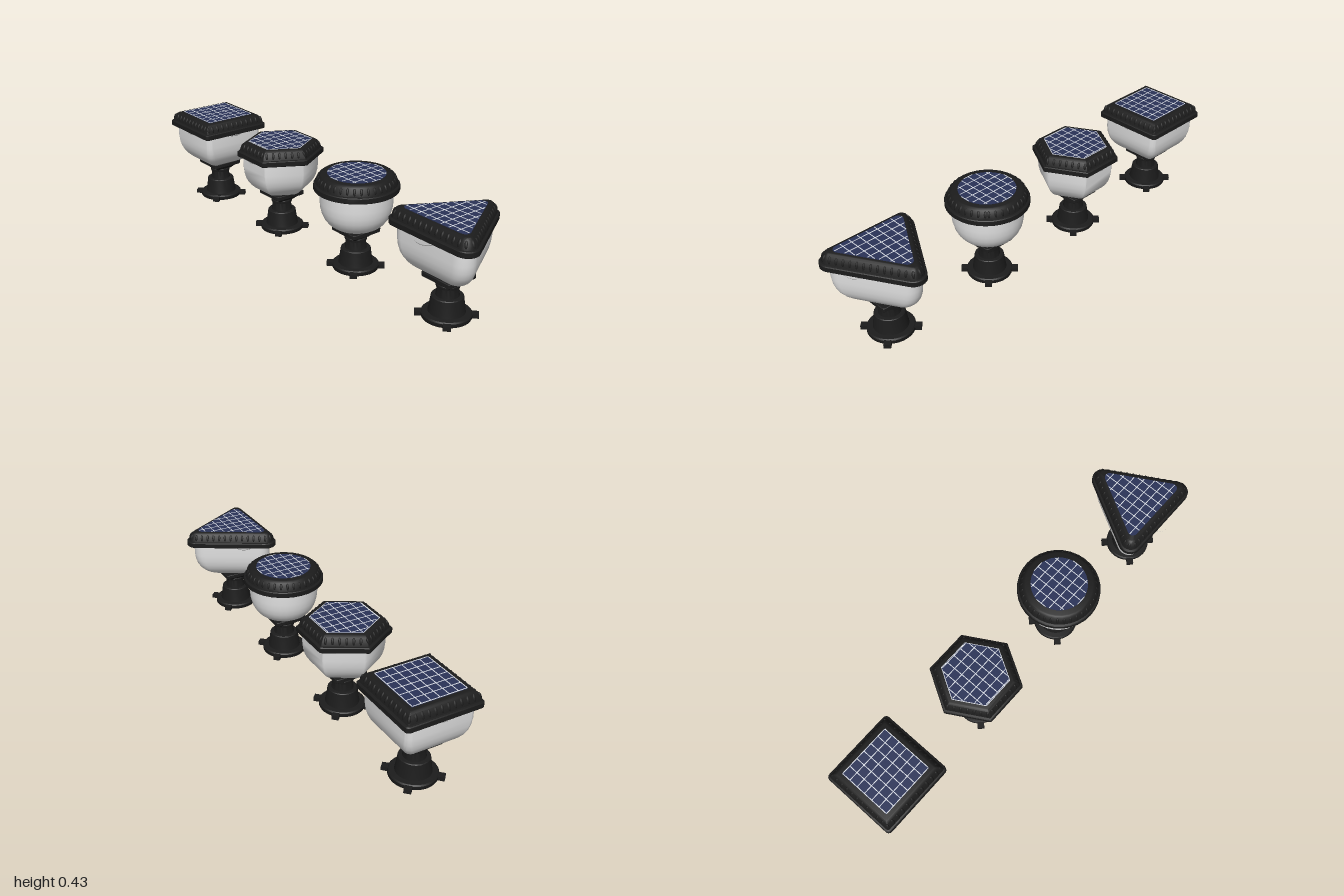
import * as THREE from 'three';
import { mergeGeometries, toCreasedNormals } from 'three/addons/utils/BufferGeometryUtils.js';

const mat = (name, color) => Object.assign(new THREE.MeshStandardMaterial({ color }), { name });

// Rounded regular polygon: n corners, apothem ap, corner radius r, first corner at angle phase
function outline({ n, ap, r, phase }, inset = 0, scale = 1, steps = 8) {
  const a = ap - inset, rr = Math.max(r - inset, 0.003);
  const c = (a - rr) / Math.cos(Math.PI / n), pts = [];
  for (let i = 0; i < n; i++) {
    const v = phase + (i * 2 * Math.PI) / n;
    for (let k = 0; k <= steps; k++) {
      const t = v + (Math.PI / n) * ((2 * k) / steps - 1);
      pts.push([scale * (c * Math.cos(v) + rr * Math.cos(t)), scale * (c * Math.sin(v) + rr * Math.sin(t))]);
    }
  }
  return pts;
}

// Skin over rings listed from the bottom up as [y, inset, scale]
function loft(shape, rings, crease = 0.5) {
  const pos = [], idx = [];
  let m = 0;
  rings.forEach(([y, inset = 0, scale = 1]) => {
    const pts = outline(shape, inset, scale);
    m = pts.length;
    pts.forEach(([x, z]) => pos.push(x, y, z));
  });
  for (let j = 0; j < rings.length - 1; j++) {
    for (let i = 0; i < m; i++) {
      const a = j * m + i, b = j * m + ((i + 1) % m);
      idx.push(a, a + m, b, b, a + m, b + m);
    }
  }
  const g = new THREE.BufferGeometry();
  g.setAttribute('position', new THREE.Float32BufferAttribute(pos, 3));
  g.setIndex(idx);
  return toCreasedNormals(g, crease);
}

// Small oval studs spaced evenly around the sloping side of the cap
function studs(shape) {
  const pts = outline(shape, 0.018), list = [], gap = 0.028;
  let next = 0, walked = 0;
  pts.forEach(([x, z], i) => {
    const [x2, z2] = pts[(i + 1) % pts.length];
    const len = Math.hypot(x2 - x, z2 - z);
    while (next < walked + len) {
      const t = (next - walked) / len;
      const g = new THREE.SphereGeometry(1, 8, 6);
      g.scale(0.007, 0.016, 0.006);
      g.rotateX(-0.4);
      g.rotateY(Math.atan2(z2 - z, -(x2 - x)) );
      g.translate(x + (x2 - x) * t, 0.407, z + (z2 - z) * t);
      list.push(g);
      next += gap;
    }
    walked += len;
  });
  return mergeGeometries(list);
}

// Range of a panel outline along one axis, where the other axis equals v
function span(pts, axis, v) {
  const hits = [];
  pts.forEach((p, i) => {
    const q = pts[(i + 1) % pts.length], o = 1 - axis;
    if ((p[o] - v) * (q[o] - v) < 0) hits.push(p[axis] + ((q[axis] - p[axis]) * (v - p[o])) / (q[o] - p[o]));
  });
  return hits.length ? [Math.min(...hits), Math.max(...hits)] : null;
}

function gridLines(shape) {
  const pts = outline(shape), list = [];
  for (const axis of [0, 1]) {
    for (let i = -4; i <= 4; i++) {
      const v = i * 0.04 + 0.0003, s = span(pts, axis, v);
      if (!s || s[1] - s[0] < 0.03) continue;
      const len = s[1] - s[0] - 0.004, mid = (s[0] + s[1]) / 2;
      const g = axis ? new THREE.BoxGeometry(0.0035, 0.001, len) : new THREE.BoxGeometry(len, 0.001, 0.0035);
      g.translate(axis ? v : mid, 0.4325, axis ? mid : v);
      list.push(g);
    }
  }
  return mergeGeometries(list);
}

export function createModel() {
  const black = mat('black plastic', 0x1c1c1c);
  const white = mat('frosted white', 0xe2e2e2);
  const blue = mat('solar blue', 0x2a3358);
  const silver = mat('panel line', 0xd8dce4);

  const model = new THREE.Group();
  model.name = 'solarPostLamps';
  const add = (parent, name, geometry, material) => {
    const mesh = new THREE.Mesh(geometry, material);
    mesh.name = name;
    parent.add(mesh);
    return mesh;
  };

  // Pedestal parts shared by all lamps
  const footProfile = [[0, 0], [0.098, 0], [0.1, 0.004], [0.1, 0.017], [0.095, 0.022], [0.074, 0.024],
    [0.071, 0.04], [0.064, 0.09], [0.061, 0.093], [0.047, 0.094], [0.042, 0.131], [0.047, 0.132],
    [0.048, 0.135], [0.048, 0.143], [0.046, 0.146], [0, 0.146]];
  const foot = toCreasedNormals(
    new THREE.LatheGeometry(footProfile.map(([x, y]) => new THREE.Vector2(x, y)), 40), 0.5);
  const square = { n: 4, ap: 0.076, r: 0.012, phase: Math.PI / 4 };
  const plate = loft(square, [[0.144, 0, 0], [0.144, 0.036], [0.166, 0.014], [0.168, 0.002],
    [0.17, 0], [0.185, 0], [0.187, 0.002], [0.187, 0, 0]]);
  const lug = new THREE.BoxGeometry(0.035, 0.018, 0.03).translate(0.107, 0.01, 0);
  const lip = new THREE.SphereGeometry(1, 20, 12, 0, Math.PI * 2, Math.PI / 2, Math.PI / 2);
  lip.scale(0.043, 0.015, 0.045).translate(0.129, 0.362, 0);

  const up = -Math.PI / 2;
  const lamps = [
    { name: 'squareLamp', x: -0.828, n: 4, phase: Math.PI / 4, cap: [0.172, 0.018], bowl: [0.152, 0.03], panel: [0.122, 0.004] },
    { name: 'hexagonLamp', x: -0.295, n: 6, phase: 0, cap: [0.172, 0.006], bowl: [0.15, 0.008], panel: [0.123, 0.003] },
    { name: 'roundLamp', x: 0.24, n: 4, phase: 0, cap: [0.181, 0.181], bowl: [0.155, 0.155], panel: [0.123, 0.123] },
    { name: 'triangleLamp', x: 0.782, n: 3, phase: up, cap: [0.1465, 0.05], bowl: [0.13, 0.053], panel: [0.103, 0.022] },
  ];

  for (const { name, x, n, phase, cap, bowl, panel } of lamps) {
    const lamp = new THREE.Group();
    lamp.name = name;
    lamp.position.set(x, 0, 0.031);
    model.add(lamp);
    const shape = ([ap, r]) => ({ n, phase, ap, r });

    // Pedestal with four fixing lugs
    add(lamp, 'pedestal', foot, black);
    add(lamp, 'mountingPlate', plate, black);
    for (let i = 0; i < 4; i++) {
      add(lamp, 'fixingLug', lug, black).rotation.y = Math.PI / 4 + (i * Math.PI) / 2;
      add(lamp, 'bowlLip', lip, white).rotation.y = (i * Math.PI) / 2;
    }

    // Frosted bowl
    add(lamp, 'bowl', loft(shape(bowl), [[0.187, 0, 0], [0.187, 0, 0.46], [0.193, 0, 0.58], [0.205, 0, 0.71],
      [0.218, 0, 0.8], [0.235, 0, 0.88], [0.255, 0, 0.94], [0.28, 0, 0.98], [0.31, 0, 1], [0.364, 0, 1]], 0.75), white);

    // Cap with its rim, studs and solar panel
    add(lamp, 'cap', loft(shape(cap), [[0.362, 0, 0], [0.362, 0.002], [0.364, 0], [0.384, 0], [0.387, 0.003],
      [0.389, 0.009], [0.405, 0.014], [0.422, 0.024], [0.428, 0.031], [0.43, 0.036], [0.43, 0, 0]], 0.4), black);
    add(lamp, 'capStuds', studs(shape(cap)), black);
    const sheet = (y) => [[0.429, 0], [y, 0], [y, 0, 0]];
    if (n === 6) add(lamp, 'panelEdge', loft(shape([panel[0] + 0.003, panel[1]]), sheet(0.431)), silver);
    add(lamp, 'solarPanel', loft(shape(panel), sheet(0.432)), blue);
    add(lamp, 'panelLines', gridLines(shape(panel)), silver);
  }
  return model;
}
